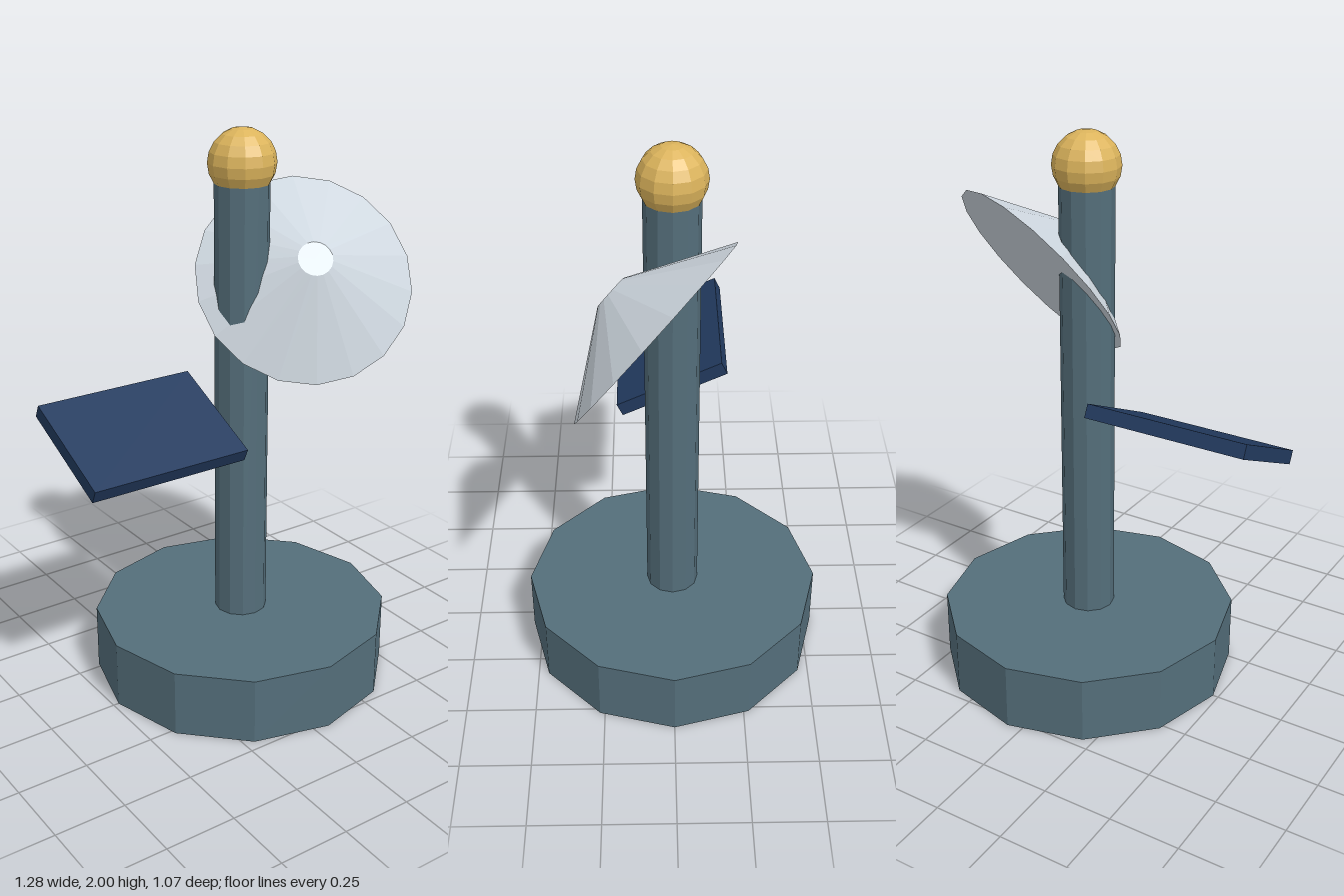
import * as THREE from 'three';

const material = (name, color) => {
  const m = new THREE.MeshStandardMaterial({ color, flatShading: true });
  m.name = name;
  return m;
};

export function createModel() {
  const group = new THREE.Group();
  group.name = 'relayBeacon';

  const slate = material('slate', 0x546e7a);
  const paleGrey = material('paleGrey', 0xcfd8e0);
  const navy = material('navy', 0x223a5e);
  const gold = material('gold', 0xdcb45c);

  const add = (name, geometry, mat, x, y, z) => {
    const mesh = new THREE.Mesh(geometry, mat);
    mesh.name = name;
    mesh.position.set(x, y, z);
    group.add(mesh);
    return mesh;
  };

  const axisX = 0.055;

  // Twelve-sided foot, mast and ball on top
  add('base', new THREE.CylinderGeometry(0.535, 0.535, 0.24, 12), slate, axisX, 0.12, 0);
  add('mast', new THREE.CylinderGeometry(0.094, 0.094, 1.64, 12), slate, axisX, 1.04, 0);
  add('beaconBall', new THREE.SphereGeometry(0.116, 12, 10), gold, axisX, 1.884, 0);

  // Closed, truncated cone dish, tilted up and forward
  const depth = 0.19;
  const dishGeometry = new THREE.CylinderGeometry(0.06, 0.382, depth, 18, 1, false, 0.08);
  dishGeometry.translate(0, depth / 2, 0); // pivot at the centre of the rim
  const dish = add('dish', dishGeometry, paleGrey, 0.281, 1.467, 0.055);
  dish.rotation.set(0.9, 0, 0.35);

  // Tilted solar panel beside the mast
  const panel = add('solarPanel', new THREE.BoxGeometry(0.59, 0.049, 0.408), navy, -0.35, 1.02, 0);
  panel.rotation.x = 0.44;

  return group;
}
